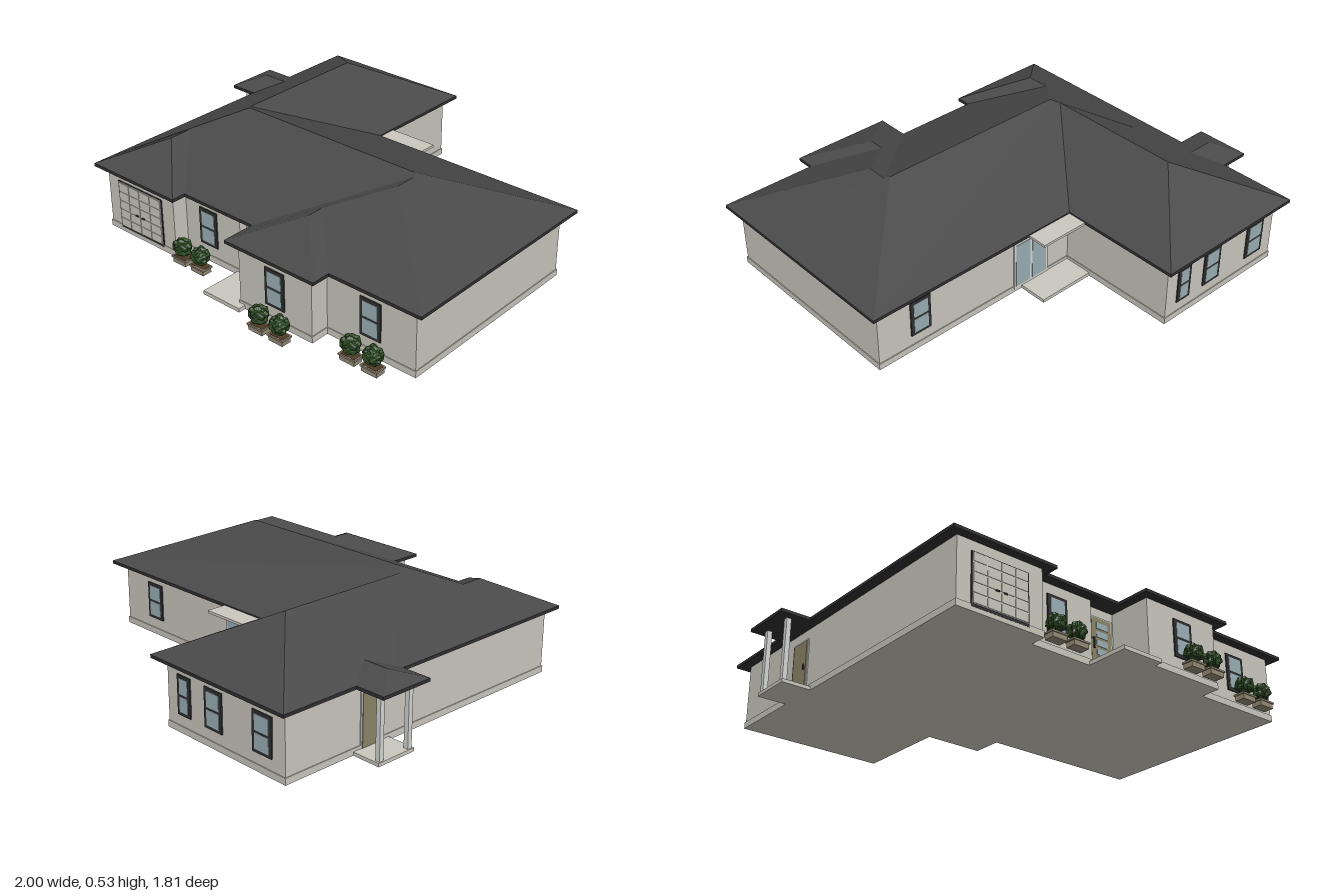
import * as THREE from 'three';

const mat = (name, color, side = THREE.FrontSide) => {
  const m = new THREE.MeshStandardMaterial({ color, side });
  m.name = name;
  return m;
};

export function createModel() {
  const model = new THREE.Group();
  model.name = 'house';
  const wall = mat('wall render', 0xcac8be);
  const roof = mat('roof tile', 0x494949);
  const dark = mat('dark trim', 0x303032);
  const glass = mat('glass', 0x9bb0b6);
  const doorMat = mat('door paint', 0x8d8568);
  const pale = mat('pale frame', 0xd6d8d6);
  const pot = mat('planter', 0x958b76);
  const leaf = mat('leaf', 0x2c4a22);
  const bark = mat('bark', 0x4d3a28);
  roof.flatShading = true;
  leaf.flatShading = true;

  const add = (name, geo, material, parent = model) => {
    const m = new THREE.Mesh(geo, material);
    m.name = name;
    parent.add(m);
    return m;
  };
  // Box given by its limits on each axis
  const box = (name, x0, x1, y0, y1, z0, z1, material, parent) => {
    const g = new THREE.BoxGeometry(x1 - x0, y1 - y0, z1 - z0);
    g.translate((x0 + x1) / 2, (y0 + y1) / 2, (z0 + z1) / 2);
    return add(name, g, material, parent);
  };
  // Group on a wall, with its local +z pointing out of the wall
  const mount = (name, x, z, turn = 0) => {
    const g = new THREE.Group();
    g.name = name;
    g.position.set(x, 0, z);
    g.rotation.y = turn;
    model.add(g);
    return g;
  };

  // Walls: floor plan pulled upwards
  const plan = [
    [-0.815, -0.855], [-0.12, -0.855], [-0.12, -0.265], [0.95, -0.265], [0.95, 0.7],
    [0.5, 0.7], [0.5, 0.79], [0.1, 0.79], [0.1, 0.585], [-0.06, 0.585],
    [-0.06, 0.625], [-0.39, 0.625], [-0.39, 0.7], [-0.815, 0.7],
  ];
  const shape = new THREE.Shape(plan.map(([x, z]) => new THREE.Vector2(x, -z)));
  const wallGeo = new THREE.ExtrudeGeometry(shape, { depth: 0.308, bevelEnabled: false });
  wallGeo.rotateX(-Math.PI / 2);
  add('walls', wallGeo, wall);

  // Plinth strip along each wall
  plan.forEach(([x, z], i) => {
    const [u, v] = plan[(i + 1) % plan.length];
    const e = 0.004;
    box('plinth', Math.min(x, u) - e, Math.max(x, u) + e, 0, 0.03, Math.min(z, v) - e, Math.max(z, v) + e, wall)
      .visible = true;
  });

  // Hip roof: eave rectangle, ridge from a to b (along x or z), ridge height
  const hip = (name, x0, x1, z0, z1, a, b, top) => {
    const eave = 0.318;
    const P = [[x0, z0], [x1, z0], [x1, z1], [x0, z1]].map(([x, z]) => [x, eave, z]);
    const A = [a[0], top, a[1]], B = [b[0], top, b[1]];
    const faces = a[1] === b[1]
      ? [[P[3], P[2], B, A], [P[1], P[0], A, B], [P[0], P[3], A], [P[2], P[1], B]]
      : [[P[3], P[2], B], [P[1], P[0], A], [P[0], P[3], B, A], [P[2], P[1], A, B]];
    const pos = [];
    for (const f of faces) {
      for (let i = 1; i < f.length - 1; i++) pos.push(...f[0], ...f[i], ...f[i + 1]);
    }
    const g = new THREE.BufferGeometry();
    g.setAttribute('position', new THREE.Float32BufferAttribute(pos, 3));
    g.computeVertexNormals();
    add(name, g, roof);
    box(name + ' fascia', x0, x1, 0.303, eave, z0, z1, dark);
  };
  hip('main roof', -0.86, 1, -0.315, 0.67, [-0.43, 0.18], [0.515, 0.18], 0.526);
  hip('rear wing roof', -0.86, -0.075, -0.905, 0.14, [-0.46, -0.525], [-0.46, 0.14], 0.511);
  hip('front wing roof', 0.06, 1, 0.195, 0.74, [0.53, 0.195], [0.53, 0.3], 0.517);
  hip('front bay roof', 0.06, 0.545, 0.5, 0.83, [0.305, 0.5], [0.305, 0.59], 0.421);
  hip('garage roof', -0.86, -0.345, 0.375, 0.74, [-0.605, 0.375], [-0.605, 0.5], 0.438);
  hip('porch roof', -1, -0.76, -0.53, -0.27, [-0.895, -0.4], [-0.76, -0.4], 0.362);

  // Steps, patio, canopy and side porch
  box('front step', -0.08, 0.13, 0, 0.018, 0.58, 0.83, wall);
  box('patio slab', -0.12, 0.165, 0, 0.016, -0.41, -0.26, wall);
  box('patio canopy', -0.12, 0.165, 0.3, 0.312, -0.41, -0.26, wall);
  box('porch slab', -0.955, -0.81, 0, 0.016, -0.5, -0.3, wall);
  for (const z of [-0.48, -0.32]) box('porch post', -0.95, -0.928, 0.016, 0.305, z - 0.011, z + 0.011, pale);

  // Two-pane windows
  const windowAt = (x, z, turn, w = 0.105, y0 = 0.08, y1 = 0.255) => {
    const g = mount('window', x, z, turn);
    const h = w / 2, mid = (y0 + y1) / 2;
    box('window frame', -h, h, y0, y1, -0.004, 0.006, dark, g);
    for (const [b, t] of [[y0 + 0.014, mid - 0.005], [mid + 0.005, y1 - 0.014]]) {
      box('window pane', -h + 0.015, h - 0.015, b, t, 0.004, 0.008, glass, g);
    }
  };
  windowAt(-0.25, 0.625, 0);
  windowAt(0.302, 0.79, 0);
  windowAt(0.726, 0.7, 0);
  windowAt(0.73, -0.265, Math.PI);
  windowAt(-0.225, -0.855, Math.PI, 0.08);
  windowAt(-0.405, -0.855, Math.PI);
  windowAt(-0.69, -0.855, Math.PI, 0.11);

  // Garage door: raised panels in a pale grid
  const garage = mount('garage door', -0.605, 0.7);
  box('garage frame', -0.142, 0.142, 0.02, 0.257, -0.004, 0.005, dark, garage);
  box('garage grid', -0.137, 0.137, 0.032, 0.254, 0, 0.0075, pale, garage);
  for (let c = 0; c < 4; c++) {
    for (let r = 0; r < 5; r++) {
      const x = -0.137 + c * 0.0685, y = 0.032 + r * 0.0444;
      box('garage panel', x + 0.002, x + 0.0665, y + 0.003, y + 0.0414, 0.002, 0.01, wall, garage);
    }
  }
  for (const x of [-0.02, 0.02]) box('garage handle', x - 0.008, x + 0.008, 0.118, 0.124, 0.008, 0.015, dark, garage);

  // Front door with glazed strips
  const door = mount('front door', 0.026, 0.585);
  box('door frame', -0.064, 0.064, 0.018, 0.262, -0.004, 0.005, pale, door);
  box('door leaf', -0.055, 0.055, 0.018, 0.255, 0, 0.008, doorMat, door);
  for (let i = 0; i < 5; i++) {
    const y = 0.045 + i * 0.04;
    box('door glass', -0.028, 0.034, y, y + 0.028, 0.004, 0.01, glass, door);
  }
  box('door handle', -0.047, -0.04, 0.11, 0.16, 0.006, 0.014, dark, door);

  // Side door under the porch
  const side = mount('side door', -0.815, -0.4, -Math.PI / 2);
  box('side door frame', -0.06, 0.06, 0.016, 0.258, -0.004, 0.005, pale, side);
  box('side door leaf', -0.052, 0.052, 0.016, 0.25, 0, 0.008, doorMat, side);
  box('side door handle', 0.034, 0.042, 0.115, 0.14, 0.006, 0.013, dark, side);

  // Sliding patio door
  const slide = mount('patio door', 0.11, -0.265, Math.PI);
  box('patio door frame', -0.1, 0.1, 0.016, 0.258, -0.004, 0.006, pale, slide);
  for (const x of [-0.048, 0.048]) box('patio door glass', x - 0.041, x + 0.041, 0.028, 0.248, 0.002, 0.008, glass, slide);

  // Lumpy shrub shared by all planters
  const shrubGeo = new THREE.IcosahedronGeometry(1, 4);
  const p = shrubGeo.attributes.position, v = new THREE.Vector3();
  for (let i = 0; i < p.count; i++) {
    v.fromBufferAttribute(p, i);
    const lump = 0.95 + 0.1 * Math.sin(7 * v.x + 2) * Math.sin(8 * v.y) + 0.09 * Math.sin(9 * v.z + 5 * v.x);
    // Swell the ball toward a rounded cube
    const q = Math.pow(v.x ** 4 + v.y ** 4 + v.z ** 4, -0.16);
    v.multiplyScalar(lump * q);
    p.setXYZ(i, v.x, v.y, v.z);
  }
  shrubGeo.scale(0.039, 0.037, 0.036);
  shrubGeo.computeVertexNormals();

  // Planter boxes in pairs below the front windows
  for (const [cx, z] of [[-0.277, 0.712], [0.337, 0.866], [0.748, 0.779]]) {
    for (const s of [-1, 1]) {
      const g = mount('planter', cx + s * 0.056, z);
      box('planter box', -0.038, 0.038, 0, 0.024, -0.024, 0.024, pot, g);
      box('planter rim', -0.043, 0.043, 0.022, 0.03, -0.028, 0.028, pot, g);
      box('planter soil', -0.037, 0.037, 0.028, 0.031, -0.022, 0.022, bark, g);
      const trunk = add('shrub trunk', new THREE.CylinderGeometry(0.005, 0.006, 0.03, 8), bark, g);
      trunk.position.y = 0.042;
      const shrub = add('shrub', shrubGeo, leaf, g);
      shrub.position.y = 0.077;
      shrub.rotation.y = s > 0 ? Math.PI : 0;
    }
  }
  return model;
}
